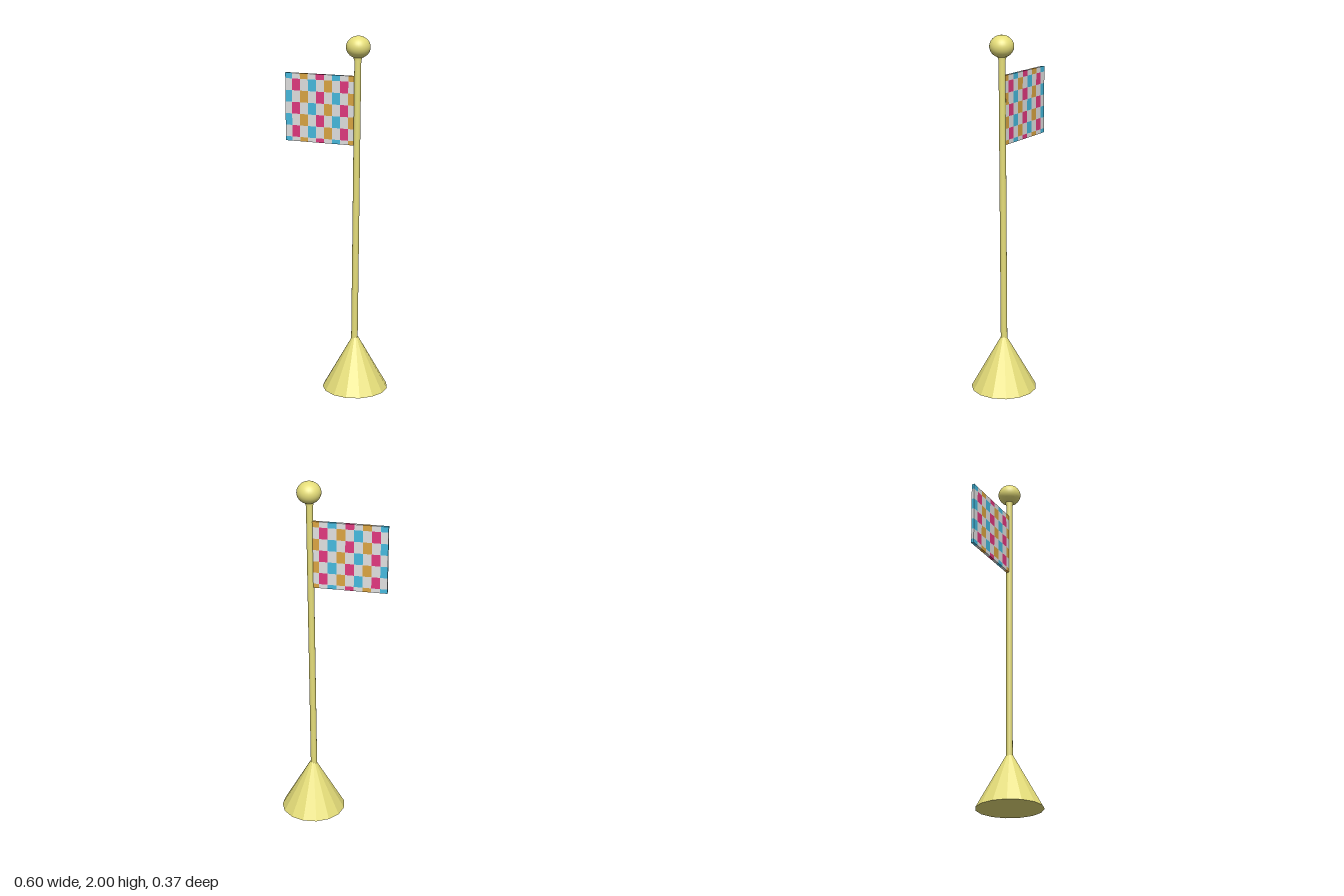
import * as THREE from 'three';

const material = (name, color) => {
  const m = new THREE.MeshStandardMaterial({ color });
  m.name = name;
  return m;
};

export function createModel() {
  const group = new THREE.Group();
  const gold = material('gold', 0xe6de7a);
  const goldFacets = gold.clone();
  goldFacets.flatShading = true;
  const cloth = [
    material('white', 0xe2e2e2),
    material('blue', 0x46bbe0),
    material('pink', 0xe2387f),
    material('orange', 0xdca642),
  ];

  const add = (name, geometry, mat, x, y, z = 0) => {
    const mesh = new THREE.Mesh(geometry, mat);
    mesh.name = name;
    mesh.position.set(x, y, z);
    group.add(mesh);
    return mesh;
  };

  // Faceted cone foot, one corner towards -x
  add('base', new THREE.CylinderGeometry(0.017, 0.1855, 0.3, 15, 1, false, -Math.PI / 2),
    goldFacets, 0.118, 0.15, -0.001);

  // Slightly leaning pole with a small flare under the ball
  const profile = [[0, 0.25], [0.0185, 0.25], [0.0185, 1.865], [0.023, 1.88], [0.023, 1.91]]
    .map(([r, y]) => new THREE.Vector2(r, y));
  const pole = new THREE.LatheGeometry(profile, 20);
  const pp = pole.attributes.position;
  for (let i = 0; i < pp.count; i++) pp.setX(i, pp.getX(i) + 0.008 * (pp.getY(i) - 0.3));
  add('pole', pole, gold, 0.114, 0);

  // Slightly flattened ball on top
  add('finial', new THREE.SphereGeometry(0.066, 32, 20), gold, 0.129, 1.94).scale.y = 0.91;

  // Flag: a segmented slab whose cells follow the checked pattern
  const xs = [-0.3];
  for (let i = 0; i < 8; i++) xs.push(-0.26 + 0.0478 * i);
  xs.push(0.118);
  const ys = [1.406];
  for (let i = 0; i < 6; i++) ys.push(1.43 + 0.0646 * i);
  ys.push(1.784);
  const cols = xs.length - 1, rows = ys.length - 1;
  const flag = new THREE.BoxGeometry(cols, rows, 0.016, cols, rows, 1);
  flag.clearGroups();
  const p = flag.attributes.position;
  const index = flag.index;
  const clamp = THREE.MathUtils.clamp;
  for (let q = 0; q < index.count; q += 6) {
    // Centre of each quad gives its column and row
    let cx = 0, cy = 0;
    for (let k = 0; k < 6; k++) {
      cx += p.getX(index.getX(q + k)) / 6;
      cy += p.getY(index.getX(q + k)) / 6;
    }
    const col = clamp(Math.floor(cx + cols / 2), 0, cols - 1);
    const row = clamp(Math.floor(cy + rows / 2), 0, rows - 1);
    const fromTop = rows - 1 - row;
    flag.addGroup(q, 6, (col + fromTop) % 2 ? 0 : 1 + (col % 3));
  }
  for (let i = 0; i < p.count; i++) {
    p.setXY(i, xs[Math.round(p.getX(i) + cols / 2)], ys[Math.round(p.getY(i) + rows / 2)]);
  }
  add('flag', flag, cloth, 0, 0, -0.001);

  return group;
}
